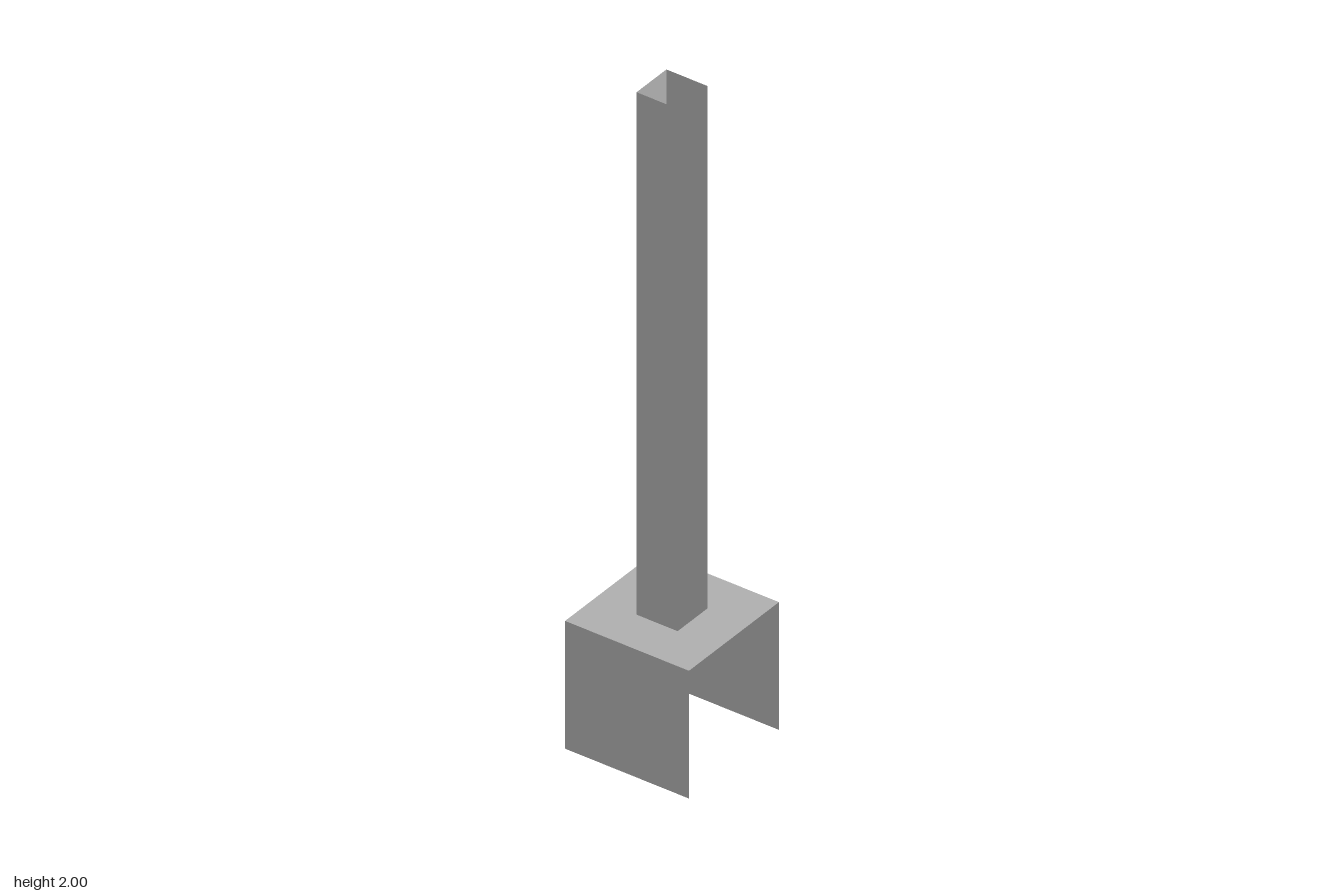
import * as THREE from 'three';

const BASE_HALF = 0.196, BASE_TOP = 0.393;
const POST_HALF = 0.065, POST_TOP = 2;

export function createModel() {
  const grey = new THREE.MeshStandardMaterial({ color: 0xb2b2b2, side: THREE.DoubleSide });
  grey.name = 'grey';

  // Three thin walls (left, back, right) leaving the front open
  function channel(name, half, bottom, top) {
    const group = new THREE.Group();
    group.name = name;
    const walls = [['LeftWall', Math.PI / 2], ['BackWall', Math.PI], ['RightWall', -Math.PI / 2]];
    for (const [suffix, turn] of walls) {
      const geometry = new THREE.PlaneGeometry(2 * half, top - bottom);
      geometry.translate(0, (top + bottom) / 2, half);
      geometry.rotateY(turn);
      const wall = new THREE.Mesh(geometry, grey);
      wall.name = name + suffix;
      group.add(wall);
    }
    return group;
  }

  function square(PathType, half) {
    return new PathType([[-1, -1], [1, -1], [1, 1], [-1, 1]]
      .map(([x, y]) => new THREE.Vector2(x * half, y * half)));
  }

  const model = new THREE.Group();
  model.name = 'openPostOnBase';
  model.add(channel('base', BASE_HALF, 0, BASE_TOP));
  model.add(channel('post', POST_HALF, BASE_TOP, POST_TOP));

  // Top of the base, with a square opening under the post
  const outline = square(THREE.Shape, BASE_HALF);
  outline.holes.push(square(THREE.Path, POST_HALF));
  const plate = new THREE.ShapeGeometry(outline);
  plate.rotateX(-Math.PI / 2);
  plate.translate(0, BASE_TOP, 0);
  const baseTop = new THREE.Mesh(plate, grey);
  baseTop.name = 'baseTop';
  model.add(baseTop);

  return model;
}
